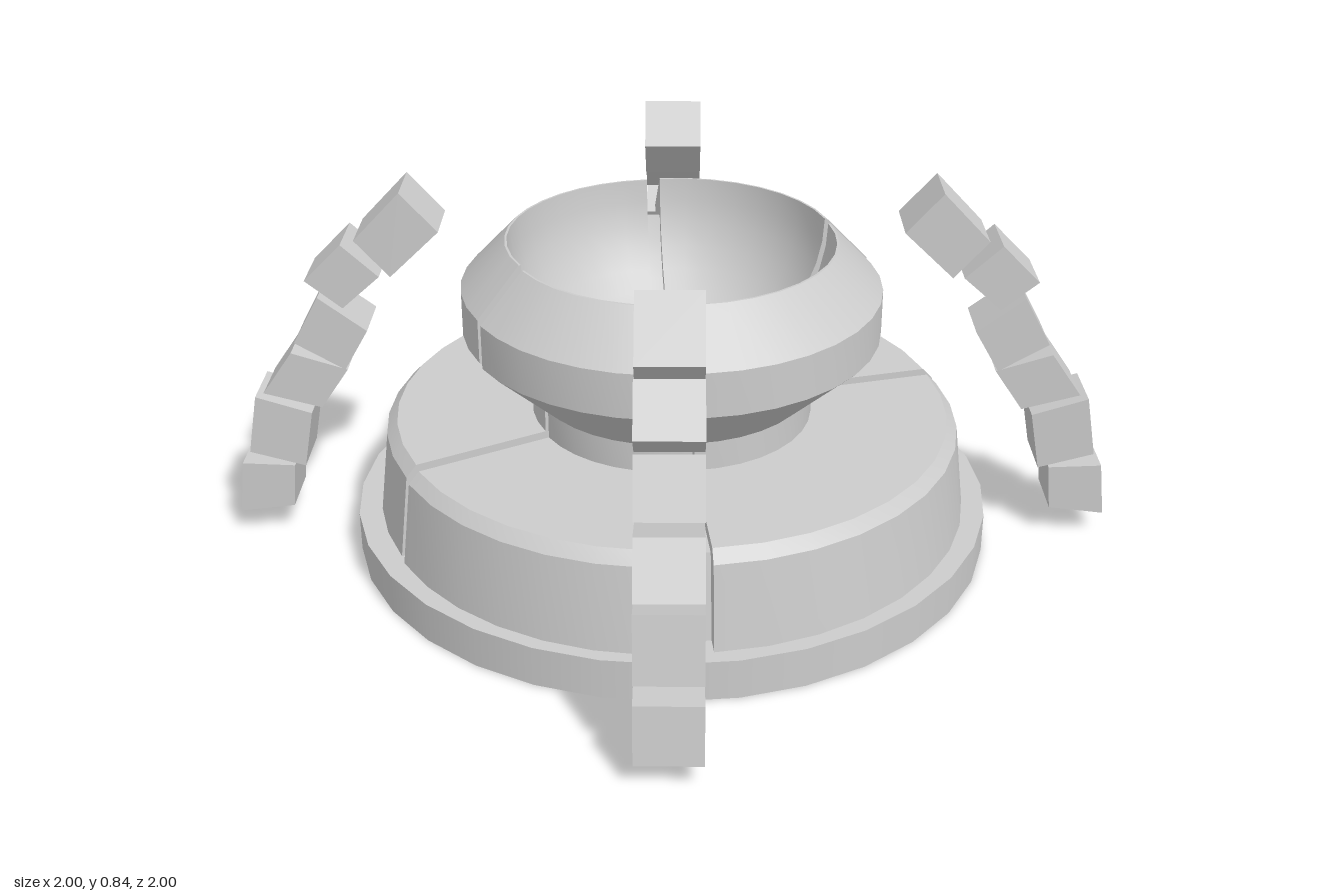
import * as THREE from 'three';
import { toCreasedNormals, mergeGeometries } from 'three/addons/utils/BufferGeometryUtils.js';

const material = new THREE.MeshStandardMaterial({ color: 0xcccccc, side: THREE.DoubleSide });

function addMesh(parent, name, geometry) {
  const mesh = new THREE.Mesh(geometry, material);
  mesh.name = name;
  parent.add(mesh);
  return mesh;
}

// Outer wall points followed by a round bowl running down to the axis
function bowlProfile(wall, radius, centreY, startAngle) {
  const points = wall.map(([r, y]) => new THREE.Vector2(r, y));
  for (let i = 0; i <= 10; i++) {
    const a = startAngle + (Math.PI / 2 - startAngle) * i / 10;
    points.push(new THREE.Vector2(Math.max(0, radius * Math.cos(a)), centreY - radius * Math.sin(a)));
  }
  return points;
}

// Solid wedge of a lathe, closed by its profile at both ends
function wedge(profile, start, length) {
  const segments = Math.max(4, Math.round(length / 0.17));
  const skin = toCreasedNormals(new THREE.LatheGeometry(profile, segments, start, length), 0.4);
  const section = new THREE.Shape([...profile, new THREE.Vector2(0, profile[0].y)]);
  const caps = [start, start + length].map((phi) =>
    new THREE.ShapeGeometry(section).rotateY(phi - Math.PI / 2).toNonIndexed());
  return mergeGeometries([skin, ...caps]);
}

// Side outlines of the blocks of one arm, from the tip down
const armBlocks = [
  [[0.585, 0.84], [0.505, 0.75], [0.615, 0.645], [0.69, 0.73]],
  [[0.72, 0.72], [0.64, 0.645], [0.725, 0.57], [0.805, 0.635]],
  [[0.78, 0.595], [0.675, 0.515], [0.73, 0.42], [0.84, 0.485]],
  [[0.85, 0.46], [0.725, 0.42], [0.79, 0.325], [0.92, 0.36]],
  [[0.94, 0.35], [0.815, 0.31], [0.84, 0.175], [0.965, 0.21]],
  [[0.985, 0.18], [0.865, 0.175], [0.875, 0.07], [1, 0.055]],
];

function createArm() {
  const arm = new THREE.Group();
  for (const corners of armBlocks) {
    const shape = new THREE.Shape(corners.map(([x, y]) => new THREE.Vector2(x, y)));
    const block = new THREE.ExtrudeGeometry(shape, { depth: 0.135, bevelEnabled: false });
    addMesh(arm, 'armBlock', block.translate(0, 0, -0.0675));
  }
  return arm;
}

export function createModel() {
  const model = new THREE.Group();
  model.name = 'pedestalBowl';

  // Foot plate
  addMesh(model, 'footPlate', new THREE.CylinderGeometry(0.725, 0.725, 0.09, 32).translate(0, 0.045, 0));

  const body = new THREE.Group();
  body.name = 'splitBody';
  body.scale.z = 1.03;
  model.add(body);

  // Inner core, seen at the bottom of the slots
  const core = bowlProfile(
    [[0.63, 0.09], [0.6, 0.28], [0.28, 0.28], [0.28, 0.38], [0.425, 0.52], [0.425, 0.6]],
    0.38, 0.715, 0.25);
  addMesh(body, 'core', toCreasedNormals(new THREE.LatheGeometry(core, 36), 0.4));

  // Four wedges moved apart, leaving slots at uneven angles
  const outer = bowlProfile(
    [[0.655, 0.09], [0.632, 0.28], [0.608, 0.305], [0.3, 0.305], [0.3, 0.37],
      [0.45, 0.51], [0.45, 0.61], [0.35, 0.715]],
    0.345, 0.715, 0);
  const slots = [6.3, 105, 187, 299.5, 366.3].map(THREE.MathUtils.degToRad);
  for (let i = 0; i < 4; i++) {
    const length = slots[i + 1] - slots[i];
    const middle = slots[i] + length / 2;
    const part = addMesh(body, 'bodyWedge', wedge(outer, slots[i], length));
    part.position.set(Math.sin(middle) * 0.021, 0, Math.cos(middle) * 0.021);
  }

  // Curved arms of loose blocks on the four sides
  ['leftArm', 'backArm', 'rightArm', 'frontArm'].forEach((name, i) => {
    const arm = createArm();
    arm.name = name;
    arm.rotation.y = i * Math.PI / 2;
    model.add(arm);
  });

  return model;
}
